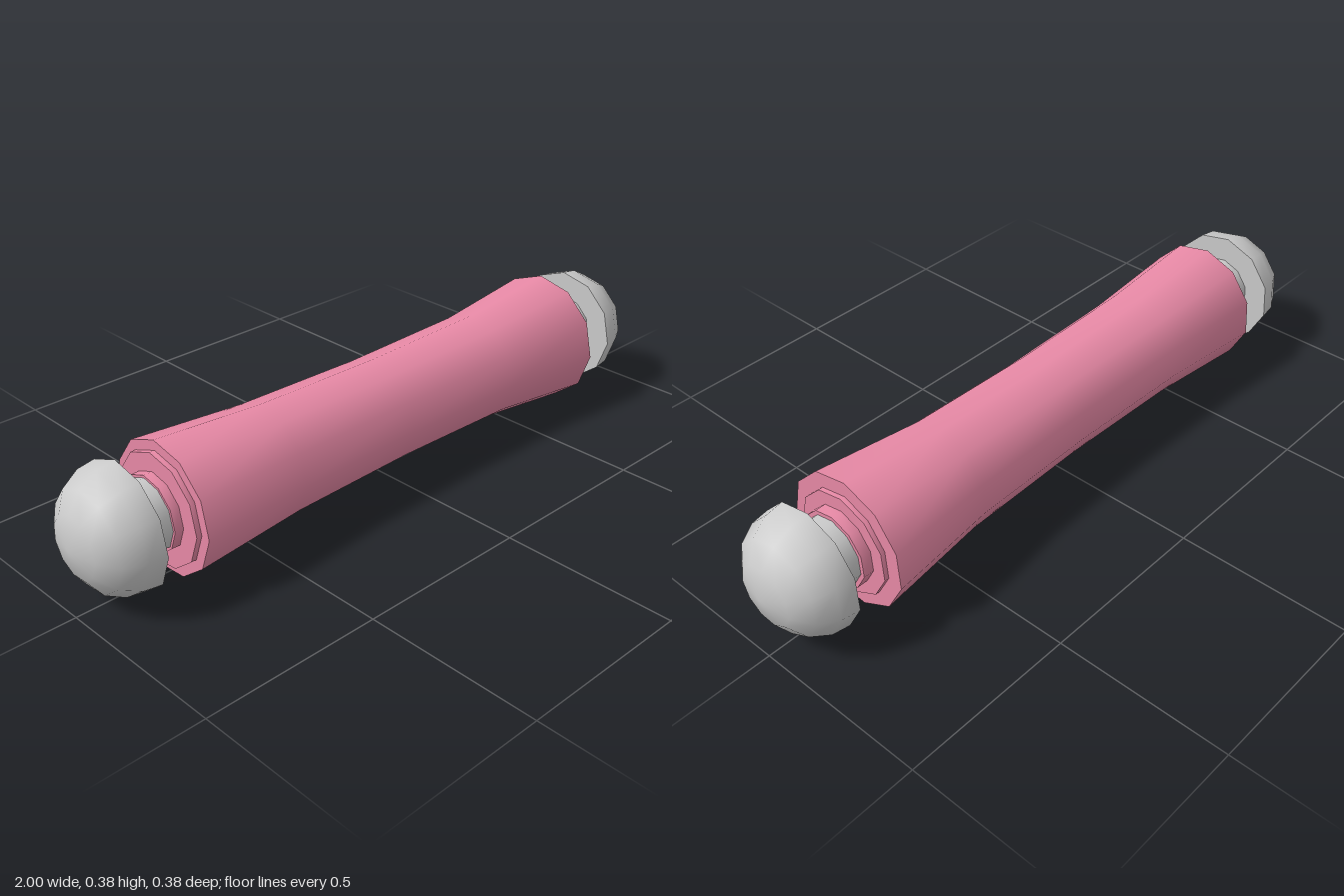
import * as THREE from 'three';
import { toCreasedNormals } from 'three/addons/utils/BufferGeometryUtils.js';

const SIDES = 11;
const AXIS_Y = 0.19;
const grey = new THREE.MeshStandardMaterial({ color: 0xcccccc });
const pink = new THREE.MeshStandardMaterial({ color: 0xe98aa7 });

// Turned part along x: profile is a list of [x, radius] running towards +x
function turned(name, profile, material) {
  const points = profile.map(([x, r]) => new THREE.Vector2(r, x));
  const start = 1.5 * Math.PI - 0.077;
  const lathe = new THREE.LatheGeometry(points, SIDES, start, Math.PI * 2);
  lathe.rotateZ(-Math.PI / 2);
  const mesh = new THREE.Mesh(toCreasedNormals(lathe, 0.75), material);
  mesh.name = name;
  return mesh;
}

// Mirror a profile to the -x end, keeping it in +x order
const mirrored = (profile) => profile.map(([x, r]) => [-x, r]).reverse();

export function createModel() {
  const group = new THREE.Group();
  group.name = 'rollingPin';

  // Waisted roller, slightly wider at its left end, with stepped ends
  group.add(turned('roller', [
    [-0.77, 0], [-0.77, 0.105], [-0.745, 0.105], [-0.745, 0.156], [-0.73, 0.156],
    [-0.73, 0.184], [-0.4, 0.16], [0, 0.153], [0.4, 0.16], [0.727, 0.194],
    [0.727, 0.15], [0.74, 0.15], [0.74, 0.11], [0.77, 0.11], [0.77, 0],
  ], pink));

  // Axle stubs and domed knobs
  const stub = [[0.76, 0], [0.76, 0.098], [0.845, 0.098], [0.845, 0]];
  const knob = [[0.84, 0], [0.84, 0.174], [0.892, 0.167], [0.945, 0.138], [0.982, 0.085], [1, 0]];
  group.add(turned('leftAxle', stub, grey), turned('rightAxle', mirrored(stub), grey));
  group.add(turned('leftKnob', knob, grey), turned('rightKnob', mirrored(knob), grey));

  group.children.forEach((mesh) => { mesh.position.y = AXIS_Y; });
  return group;
}
